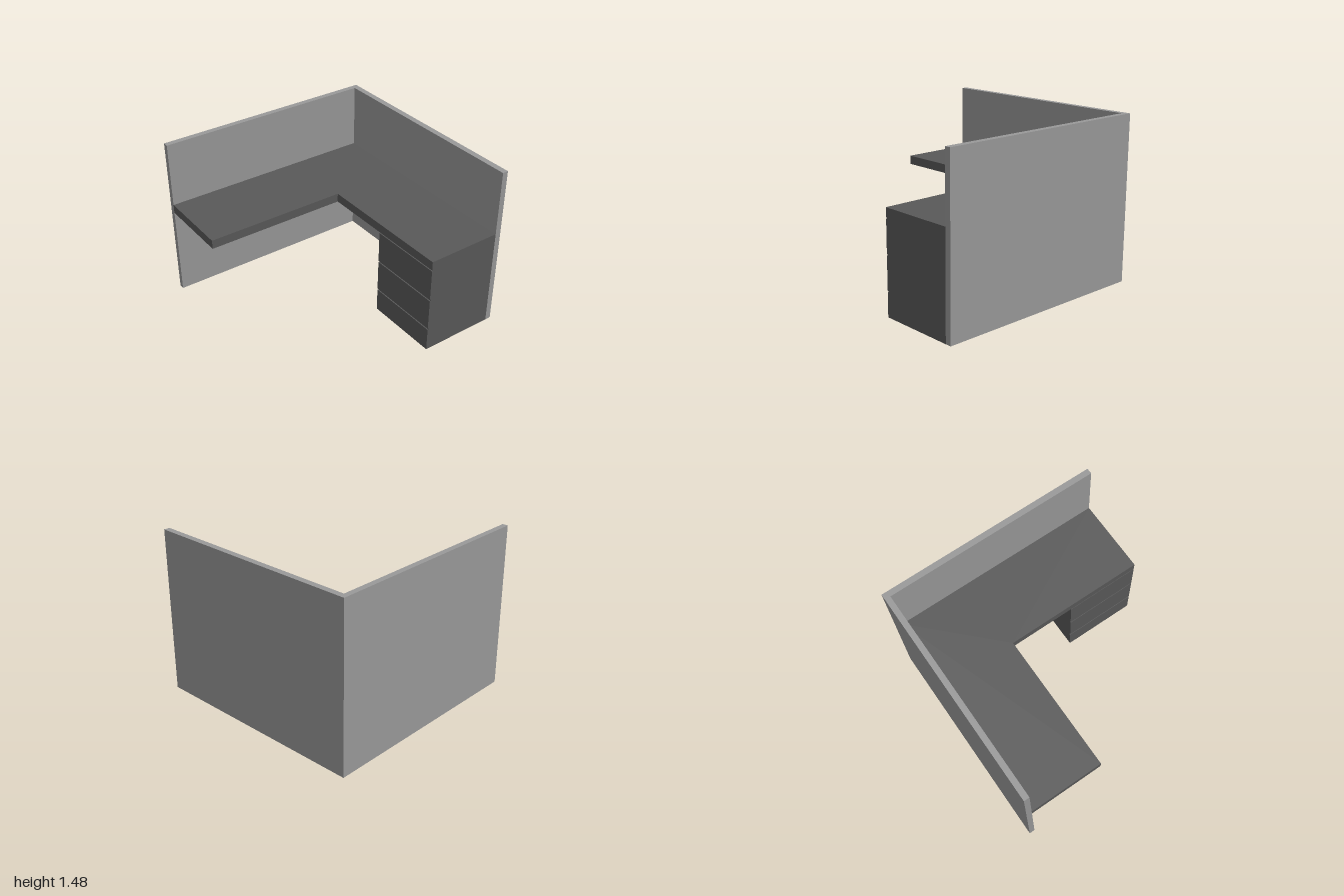
import * as THREE from 'three';

const panelGrey = new THREE.MeshStandardMaterial({ color: 0x999999 });
panelGrey.name = 'panel grey';
const deskGrey = new THREE.MeshStandardMaterial({ color: 0x595959 });
deskGrey.name = 'desk dark grey';

// Floor-plan outline given as [x, z] points, raised from y0 to y1
function plan(name, points, y0, y1, material) {
  const shape = new THREE.Shape(points.map(([x, z]) => new THREE.Vector2(x, -z)));
  const geometry = new THREE.ExtrudeGeometry(shape, { depth: y1 - y0, bevelEnabled: false });
  geometry.rotateX(-Math.PI / 2).translate(0, y0, 0);
  const mesh = new THREE.Mesh(geometry, material);
  mesh.name = name;
  return mesh;
}

// Box given by its limits on each axis
function box(name, [x0, x1], [y0, y1], [z0, z1], material) {
  const mesh = new THREE.Mesh(new THREE.BoxGeometry(x1 - x0, y1 - y0, z1 - z0), material);
  mesh.position.set((x0 + x1) / 2, (y0 + y1) / 2, (z0 + z1) / 2);
  mesh.name = name;
  return mesh;
}

export function createModel() {
  const model = new THREE.Group();
  model.name = 'cubicleDesk';
  const inner = 0.947, back = -0.95, deskLeft = 0.265, deskFront = -0.275;
  const deskBottom = 0.82, deskTop = 0.9;

  // L-shaped partition wall
  model.add(plan('partitionWall', [
    [-1, -1], [1, -1], [1, 1], [inner, 1], [inner, back], [-1, back],
  ], 0, 1.48, panelGrey));

  // L-shaped worktop
  model.add(plan('worktop', [
    [-1, back], [inner, back], [inner, 1], [deskLeft, 1], [deskLeft, deskFront], [-1, deskFront],
  ], deskBottom, deskTop, deskGrey));

  // Pedestal under the front end of the worktop, drawers facing -x
  const pedestal = new THREE.Group();
  pedestal.name = 'drawerPedestal';
  const depth = [0.325, 1];
  pedestal.add(box('carcass', [deskLeft + 0.01, inner], [0, deskBottom], depth, deskGrey));
  const gap = 0.014;
  const levels = [0, 0.21, 0.51, 0.81];
  for (let i = 0; i < 3; i++) {
    pedestal.add(box('drawerFront', [deskLeft, deskLeft + 0.01],
      [levels[i] + (i ? gap : 0), levels[i + 1]], depth, deskGrey));
  }
  model.add(pedestal);
  return model;
}
